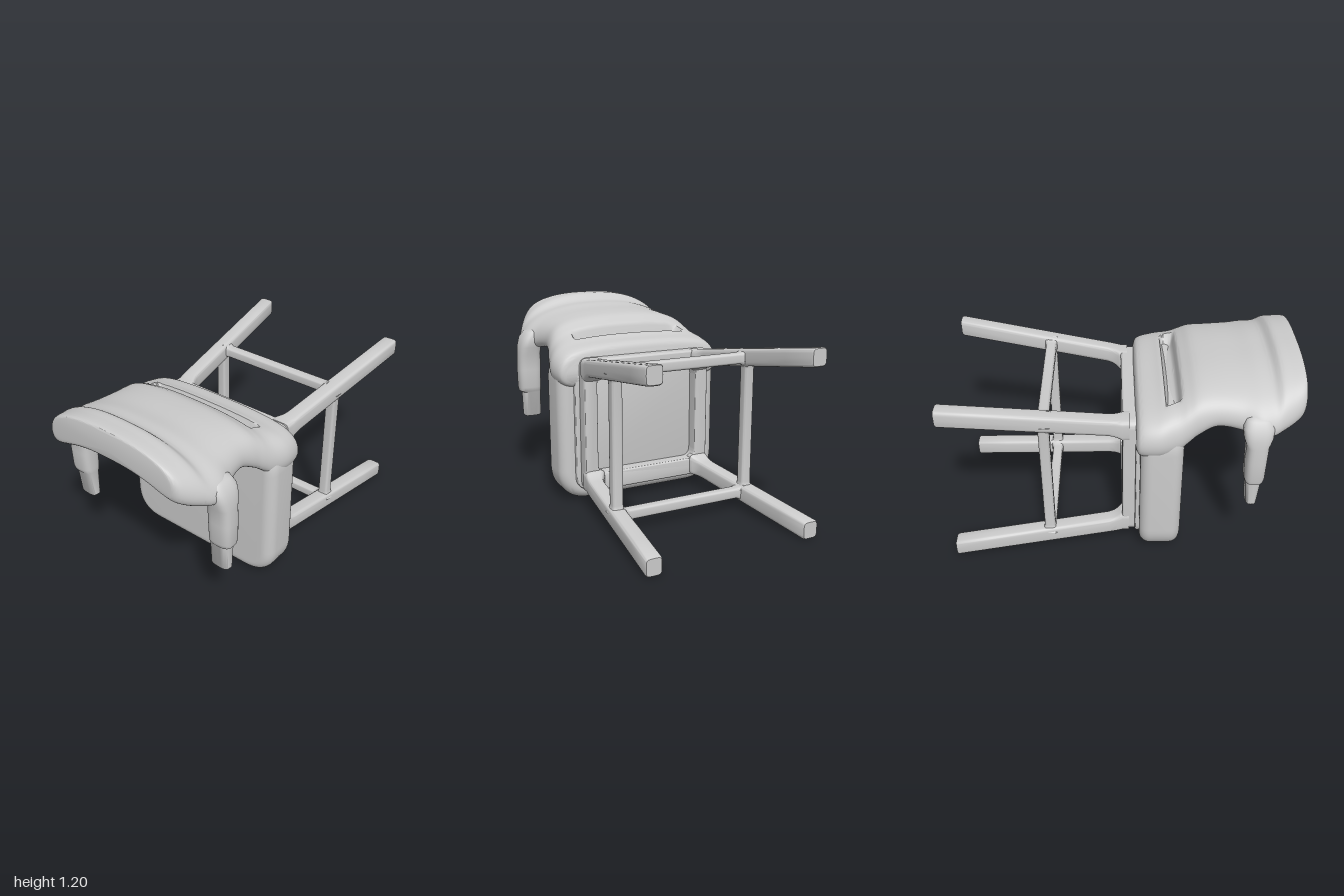
import * as THREE from 'three';
import { mergeVertices, toCreasedNormals } from 'three/addons/utils/BufferGeometryUtils.js';

const material = new THREE.MeshStandardMaterial({ color: 0xcccccc });

function addPart(group, name, geometry) {
  const mesh = new THREE.Mesh(geometry, material);
  mesh.name = name;
  group.add(mesh);
  return mesh;
}

// Skin closed rings of points and cap both ends; faces are turned outward
function loft(rings, crease = 0.7) {
  const n = rings[0].length;
  const pts = rings.flat();
  const index = [];
  for (let r = 0; r < rings.length - 1; r++) {
    for (let i = 0; i < n; i++) {
      const a = r * n + i, b = r * n + (i + 1) % n;
      index.push(a, b, a + n, b, b + n, a + n);
    }
  }
  [0, rings.length - 1].forEach((r, end) => {
    const centre = new THREE.Vector3();
    rings[r].forEach(p => centre.addScaledVector(p, 1 / n));
    const c = pts.push(centre) - 1;
    for (let i = 0; i < n; i++) {
      const a = r * n + i, b = r * n + (i + 1) % n;
      if (end) index.push(c, a, b); else index.push(c, b, a);
    }
  });
  let volume = 0;
  const cross = new THREE.Vector3();
  for (let i = 0; i < index.length; i += 3) {
    volume += pts[index[i]].dot(cross.crossVectors(pts[index[i + 1]], pts[index[i + 2]]));
  }
  if (volume < 0) index.reverse();
  const geometry = new THREE.BufferGeometry().setFromPoints(pts);
  geometry.setIndex(index);
  return toCreasedNormals(mergeVertices(geometry, 1e-5), crease);
}

// Smoothly subdivide a list of station rows
function smoothRows(rows, steps) {
  const out = [];
  const at = i => rows[Math.min(Math.max(i, 0), rows.length - 1)];
  for (let i = 0; i < rows.length - 1; i++) {
    for (let s = 0; s < steps; s++) {
      const t = s / steps;
      out.push(rows[i].map((_, k) => {
        const a = at(i - 1)[k], b = at(i)[k], c = at(i + 1)[k], d = at(i + 2)[k];
        return b + 0.5 * t * (c - a + t * (2 * a - 5 * b + 4 * c - d + t * (3 * (b - c) + d - a)));
      }));
    }
  }
  out.push(rows[rows.length - 1]);
  return out;
}

// Softly squared outline, as pairs in -1..1
function softSquare(power, count = 32) {
  const f = v => Math.sign(v) * Math.abs(v) ** power;
  return Array.from({ length: count }, (_, i) => {
    const a = i / count * Math.PI * 2;
    return [f(Math.cos(a)), f(Math.sin(a))];
  });
}

function roundedRect(shape, w, y0, y1, r) {
  shape.moveTo(-w + r, y0);
  shape.lineTo(w - r, y0);
  shape.quadraticCurveTo(w, y0, w, y0 + r);
  shape.lineTo(w, y1 - r);
  shape.quadraticCurveTo(w, y1, w - r, y1);
  shape.lineTo(-w + r, y1);
  shape.quadraticCurveTo(-w, y1, -w, y1 - r);
  shape.lineTo(-w, y0 + r);
  shape.quadraticCurveTo(-w, y0, -w + r, y0);
  return shape;
}

// Slab with rounded edges, from z0 to z1
function slab(shape, z0, z1, bevel) {
  const geometry = new THREE.ExtrudeGeometry(shape, {
    depth: z1 - z0 - bevel * 2, bevelThickness: bevel, bevelSize: bevel, bevelSegments: 8, curveSegments: 12,
  });
  return toCreasedNormals(geometry.translate(0, 0, z0 + bevel), 0.6);
}

// Curved backrest shell: arched cross-sections along z, with a slot across the top
function backrestGeometry() {
  // z, half width, top at centre, top at side, bottom at centre, bottom at side
  const rows = [
    [0.075, 0.50, 0.93, 0.88, 0.79, 0.76],
    [0.10, 0.54, 0.985, 0.94, 0.77, 0.72],
    [0.20, 0.555, 1.01, 0.97, 0.77, 0.715],
    [0.30, 0.53, 1.055, 0.99, 0.85, 0.72],
    [0.36, 0.51, 1.09, 1.02, 0.945, 0.76],
    [0.42, 0.49, 1.12, 1.05, 0.97, 0.81],
    [0.52, 0.475, 1.135, 1.06, 0.985, 0.87],
    [0.65, 0.50, 1.145, 1.05, 0.975, 0.86],
    [0.74, 0.55, 1.16, 1.02, 0.955, 0.84],
    [0.82, 0.54, 1.17, 1.03, 0.95, 0.85],
    [0.87, 0.52, 1.21, 1.06, 0.96, 0.865],
    [0.93, 0.49, 1.215, 1.09, 0.99, 0.89],
    [0.975, 0.46, 1.215, 1.115, 1.025, 0.92],
    [0.995, 0.43, 1.21, 1.13, 1.045, 0.95],
    [1.00, 0.40, 1.20, 1.13, 1.06, 0.98],
  ];
  const half = 48;
  const rings = smoothRows(rows, 8).map(([z, w, tc, ts, bc, bs]) => {
    const ring = [];
    for (let i = 0; i < half * 2; i++) {
      const u = Math.cos(Math.PI * i / half);
      const drop = Math.abs(u) ** 2.6;
      const top = tc + (ts - tc) * drop, bottom = bc + (bs - bc) * drop;
      const v = Math.sqrt(Math.max(0, 1 - u ** 10)) * (i < half ? 1 : -1);
      const x = u * w;
      let y = (top + bottom) / 2 + v * (top - bottom) / 2;
      if (i < half) {
        const across = THREE.MathUtils.smoothstep(0.38 - Math.abs(x), 0, 0.05);
        const along = THREE.MathUtils.smoothstep(0.05 - Math.abs(z - 0.285), 0, 0.03);
        y -= 0.075 * across * along;
      }
      ring.push(new THREE.Vector3(x, y, z));
    }
    return ring;
  });
  return loft(rings, 0.8);
}

// Short arm post: thick sleeve above a slimmer tip, widening into the shoulder
function armGeometry(side) {
  // y, centre x, half width x, half depth z
  const rows = [
    [0.43, 0.505, 0.05, 0.026], [0.44, 0.505, 0.059, 0.032], [0.595, 0.507, 0.06, 0.045],
    [0.605, 0.515, 0.07, 0.052], [0.63, 0.518, 0.073, 0.058], [0.75, 0.517, 0.075, 0.06],
    [0.85, 0.515, 0.073, 0.063], [0.90, 0.512, 0.071, 0.08], [0.96, 0.50, 0.066, 0.085],
    [1.0, 0.48, 0.055, 0.07], [1.02, 0.46, 0.035, 0.04],
  ];
  const outline = softSquare(0.65);
  return loft(rows.map(([y, cx, rx, rz]) =>
    outline.map(([a, b]) => new THREE.Vector3(side * (cx + a * rx), y, 0.735 + b * rz))));
}

// Splayed leg with a flared root that blends into the frame
function legGeometry(side, upper) {
  const rows = [0.04, 0, -0.015, -0.03, -0.05, -0.08, -0.45, -0.8, -0.99, -1];
  const outline = softSquare(0.4);
  return loft(rows.map(z => {
    const t = Math.max(0, -z);
    const flare = 0.03 * Math.max(0, 1 - t / 0.08) ** 2;
    const cx = 0.38 + 0.105 * t - flare / 2;
    const cy = upper ? 0.873 + 0.155 * t - flare / 2 : 0.15 - 0.087 * t + flare / 2;
    const h = 0.049 + flare / 2 - (z === -1 ? 0.005 : 0);
    return outline.map(([a, b]) => new THREE.Vector3(side * (cx + a * h), cy + b * (h + 0.003), z));
  }));
}

// Upright stretcher bar, flared where it meets the legs
function stretcherGeometry(half) {
  const outline = softSquare(0.45);
  const rows = [-1, -0.97, -0.94, -0.91, -0.88, 0.88, 0.91, 0.94, 0.97, 1];
  return loft(rows.map(s => {
    const r = 0.032 + 0.02 * Math.max(0, (Math.abs(s) - 0.88) / 0.12) ** 2;
    return outline.map(([a, b]) => new THREE.Vector3(a * r, s * half, b * r));
  }));
}

export function createModel() {
  const chair = new THREE.Group();
  chair.name = 'chair';

  // Padded seat, base lip and open frame under it
  addPart(chair, 'seat', slab(roundedRect(new THREE.Shape(), 0.478, 0.082, 0.9, 0.13), 0.1, 0.342, 0.065));
  addPart(chair, 'seatBase', slab(roundedRect(new THREE.Shape(), 0.44, 0.1, 0.9, 0.08), 0.075, 0.15, 0.012));
  const frameShape = roundedRect(new THREE.Shape(), 0.412, 0.112, 0.908, 0.04);
  frameShape.holes.push(roundedRect(new THREE.Path(), 0.35, 0.2, 0.83, 0.07));
  addPart(chair, 'seatFrame', slab(frameShape, 0, 0.13, 0.012));

  addPart(chair, 'backrest', backrestGeometry());

  // Arms, legs and side stretchers
  for (const side of [1, -1]) {
    const label = side > 0 ? 'left' : 'right';
    addPart(chair, label + 'Arm', armGeometry(side));
    addPart(chair, label + 'RearLeg', legGeometry(side, true));
    addPart(chair, label + 'FrontLeg', legGeometry(side, false));
    addPart(chair, label + 'Stretcher', stretcherGeometry(0.395)).position.set(side * 0.425, 0.53, -0.435);
  }

  // Cross stretchers
  for (const [name, y] of [['rearStretcher', 0.94], ['frontStretcher', 0.115]]) {
    const bar = addPart(chair, name, stretcherGeometry(0.4));
    bar.rotation.z = Math.PI / 2;
    bar.position.set(0, y, -0.435);
  }
  return chair;
}
